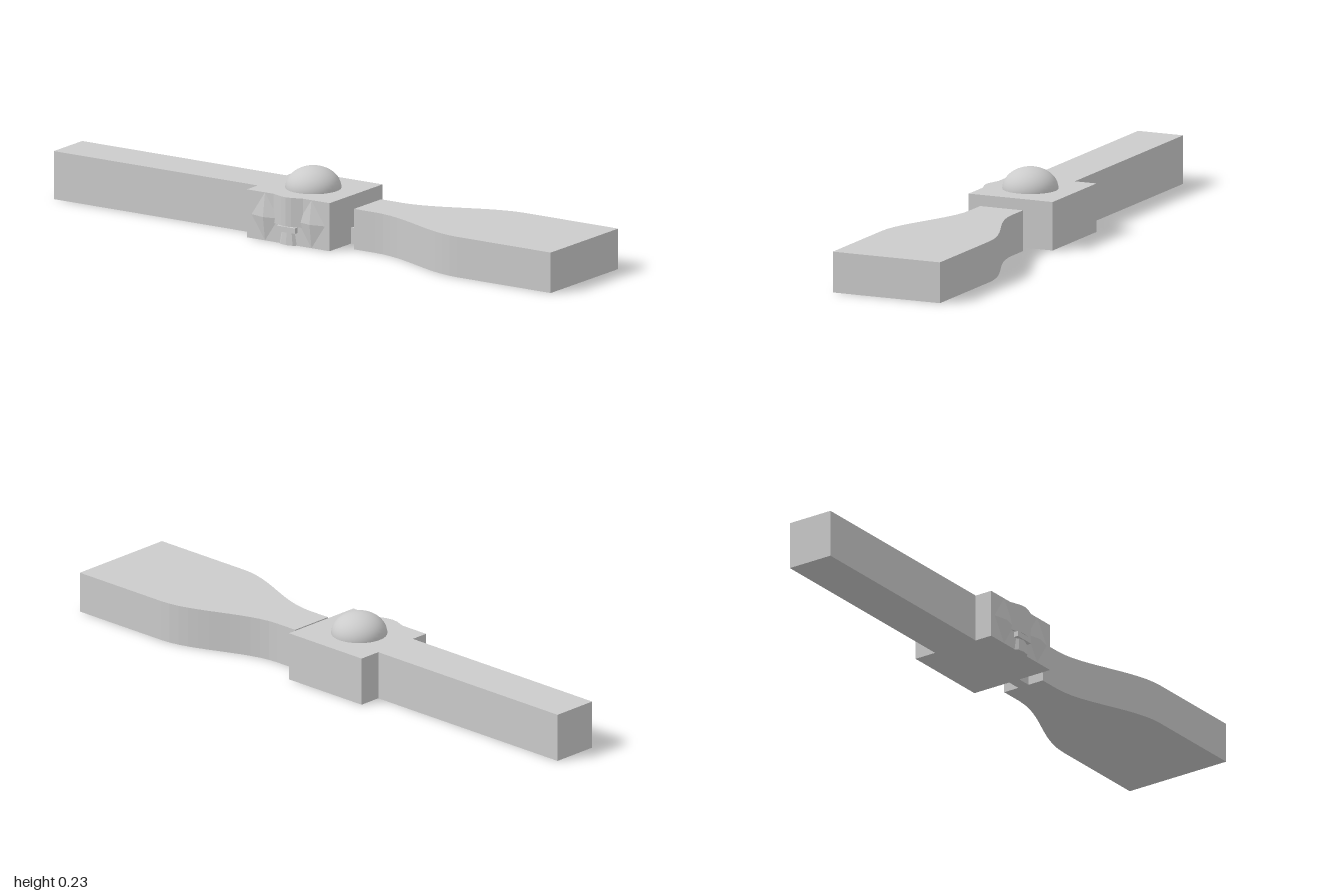
import * as THREE from 'three';

const material = new THREE.MeshStandardMaterial({ color: 0xcccccc });
const flatMaterial = new THREE.MeshStandardMaterial({ color: 0xcccccc, flatShading: true });

export function createModel() {
  const group = new THREE.Group();

  const add = (name, geometry, mat = flatMaterial) => {
    const mesh = new THREE.Mesh(geometry, mat);
    mesh.name = name;
    group.add(mesh);
    return mesh;
  };
  // Box given by its minimum and maximum on each axis
  const box = (name, x0, x1, y0, y1, z0, z1) =>
    add(name, new THREE.BoxGeometry(x1 - x0, y1 - y0, z1 - z0))
      .position.set((x0 + x1) / 2, (y0 + y1) / 2, (z0 + z1) / 2);
  // Outline in plan (x, z), raised from y0 to y1
  const slab = (name, points, y0, y1) => {
    const shape = new THREE.Shape(points.map(([x, z]) => new THREE.Vector2(x, -z)));
    const geometry = new THREE.ExtrudeGeometry(shape, { depth: y1 - y0, bevelEnabled: false });
    add(name, geometry.rotateX(-Math.PI / 2).translate(0, y0, 0));
  };

  // Long bar, central block and short link
  box('bar', -1, -0.21, 0, 0.158, -0.08, 0.08);
  box('block', -0.21, 0.11, 0, 0.158, -0.157, 0.141);
  box('link', 0.11, 0.16, 0, 0.052, -0.02, 0.02);

  // Flattened dome on the block
  const dome = add('dome', new THREE.SphereGeometry(0.09, 32, 12, 0, Math.PI * 2, 0, Math.PI / 2), material);
  dome.scale.y = 0.07 / 0.09;
  dome.position.set(-0.05, 0.158, 0);

  // Paddle: straight neck flaring smoothly to a wide end
  const side = [[0.16, 0.076]];
  for (let i = 0; i <= 12; i++) {
    const t = i / 12;
    side.push([0.24 + 0.4 * t, 0.076 + 0.114 * t * t * (3 - 2 * t)]);
  }
  side.push([1, 0.19]);
  const mirrored = side.map(([x, z]) => [x, -z]).reverse();
  slab('paddle', [...side, ...mirrored], 0, 0.133);

  // Faceted diamonds on the block's front, either side of a central ridge
  for (const s of [-1, 1]) {
    const diamond = add(s < 0 ? 'rightDiamond' : 'leftDiamond', new THREE.OctahedronGeometry(1));
    diamond.scale.set(0.052, 0.079, 0.012);
    diamond.position.set(-0.05 + s * 0.09, 0.079, 0.141);
  }
  slab('ridge', [[-0.11, 0.14], [-0.07, 0.154], [-0.05, 0.157], [-0.03, 0.154], [0.01, 0.14]], 0.062, 0.158);

  // Small flared stud below the ridge
  box('studCap', -0.086, -0.014, 0.042, 0.06, 0.13, 0.156);
  const stem = add('studStem', new THREE.CylinderGeometry(0.025, 0.033, 0.042, 8));
  stem.scale.z = 0.4;
  stem.position.set(-0.05, 0.021, 0.141);

  return group;
}
